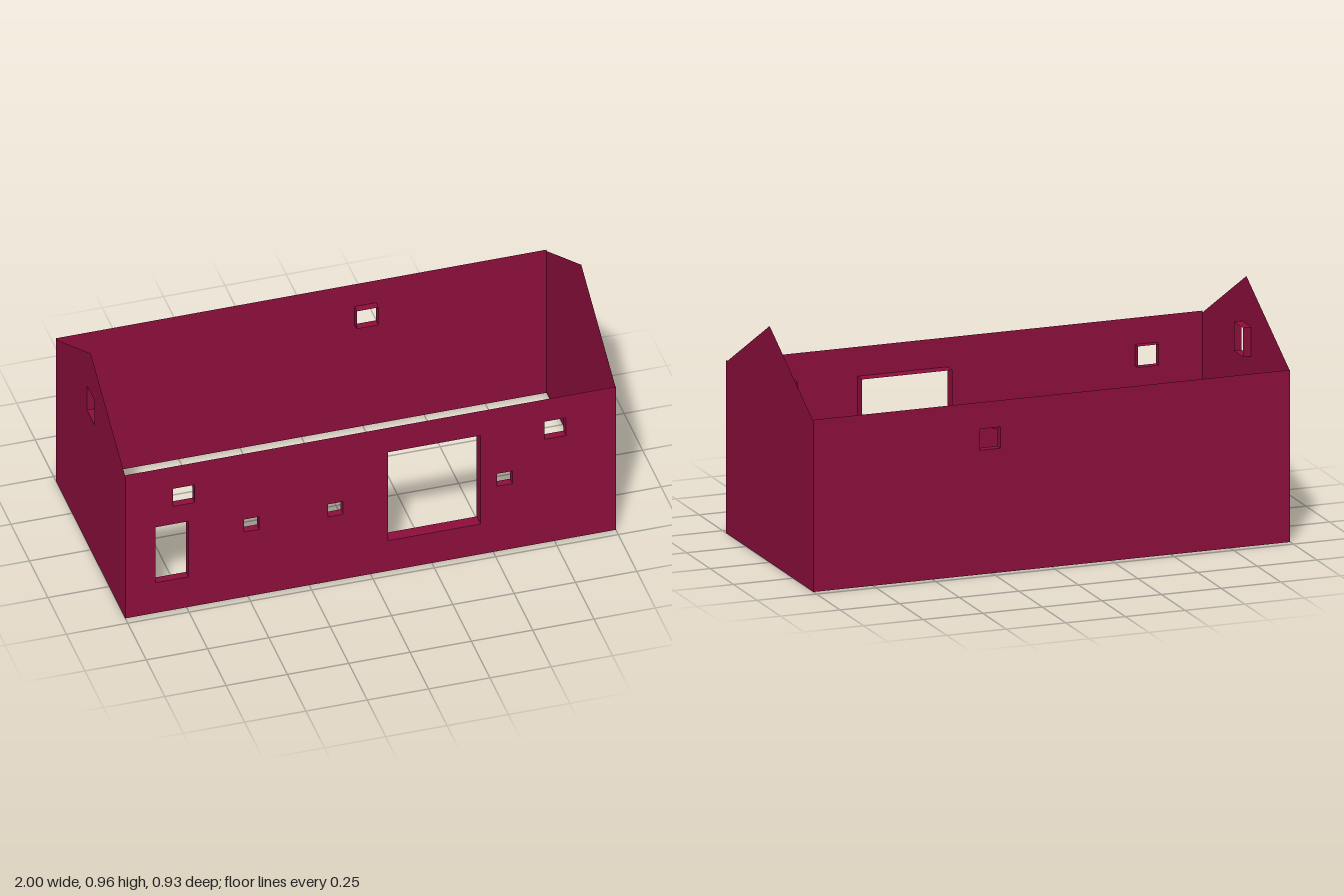
import * as THREE from 'three';

const HALF_X = 1, HALF_Z = 0.467, WALL_TOP = 0.697, EAVE = 0.69, RIDGE = 0.957;

const wallPaint = new THREE.MeshStandardMaterial({ color: 0x8c0e3b, side: THREE.DoubleSide });
wallPaint.name = 'crimson wall';

// Four-sided open sleeve lining an opening, reaching inward (local -z)
function makeReveal({ name, x0, x1, y0, y1, depth }) {
  const geo = new THREE.BoxGeometry(x1 - x0, y1 - y0, depth);
  geo.setIndex(Array.from(geo.index.array.slice(0, 24))); // drop front and back caps
  geo.clearGroups();
  const mesh = new THREE.Mesh(geo, wallPaint);
  mesh.name = name + 'Reveal';
  mesh.position.set((x0 + x1) / 2, (y0 + y1) / 2, -depth / 2);
  return mesh;
}

// Thin wall sheet facing local +z, with rectangular openings
function makeWall(name, outline, openings = []) {
  const group = new THREE.Group();
  group.name = name;
  const shape = new THREE.Shape(outline.map(([x, y]) => new THREE.Vector2(x, y)));
  for (const o of openings) {
    shape.holes.push(new THREE.Path([
      new THREE.Vector2(o.x0, o.y0), new THREE.Vector2(o.x0, o.y1),
      new THREE.Vector2(o.x1, o.y1), new THREE.Vector2(o.x1, o.y0),
    ]));
    group.add(makeReveal(o));
  }
  const sheet = new THREE.Mesh(new THREE.ShapeGeometry(shape), wallPaint);
  sheet.name = name + 'Sheet';
  group.add(sheet);
  return group;
}

const opening = (name, x0, x1, y0, y1, depth = 0.033) => ({ name, x0, x1, y0, y1, depth });

export function createModel() {
  const model = new THREE.Group();
  model.name = 'barnWalls';

  const longOutline = [[-HALF_X, 0], [HALF_X, 0], [HALF_X, WALL_TOP], [-HALF_X, WALL_TOP]];
  const gableOutline = [[-HALF_Z, 0], [HALF_Z, 0], [HALF_Z, EAVE], [0, RIDGE], [-HALF_Z, EAVE]];

  // Front wall: door, gate, two upper windows and three small windows
  const front = makeWall('frontWall', longOutline, [
    opening('door', -0.877, -0.743, 0.147, 0.417),
    opening('gate', 0.07, 0.448, 0.147, 0.578, 0.052),
    ...[-0.761, 0.753].map((x) => opening('upperWindow', x - 0.044, x + 0.044, 0.503, 0.589)),
    ...[-0.485, -0.143, 0.547].map((x) => opening('smallWindow', x - 0.031, x + 0.031, 0.316, 0.377)),
  ]);
  front.position.z = HALF_Z;

  // Back wall: one window, mirrored by the half turn
  const back = makeWall('backWall', longOutline, [
    opening('backWindow', -0.304, -0.216, 0.503, 0.589),
  ]);
  back.position.z = -HALF_Z;
  back.rotation.y = Math.PI;

  // Gable ends: only the one at -x has a window
  const rightGable = makeWall('rightGable', gableOutline, [
    opening('gableWindow', -0.05, 0.05, 0.645, 0.763),
  ]);
  rightGable.position.x = -HALF_X;
  rightGable.rotation.y = -Math.PI / 2;

  const leftGable = makeWall('leftGable', gableOutline);
  leftGable.position.x = HALF_X;
  leftGable.rotation.y = Math.PI / 2;

  model.add(front, back, rightGable, leftGable);
  return model;
}
